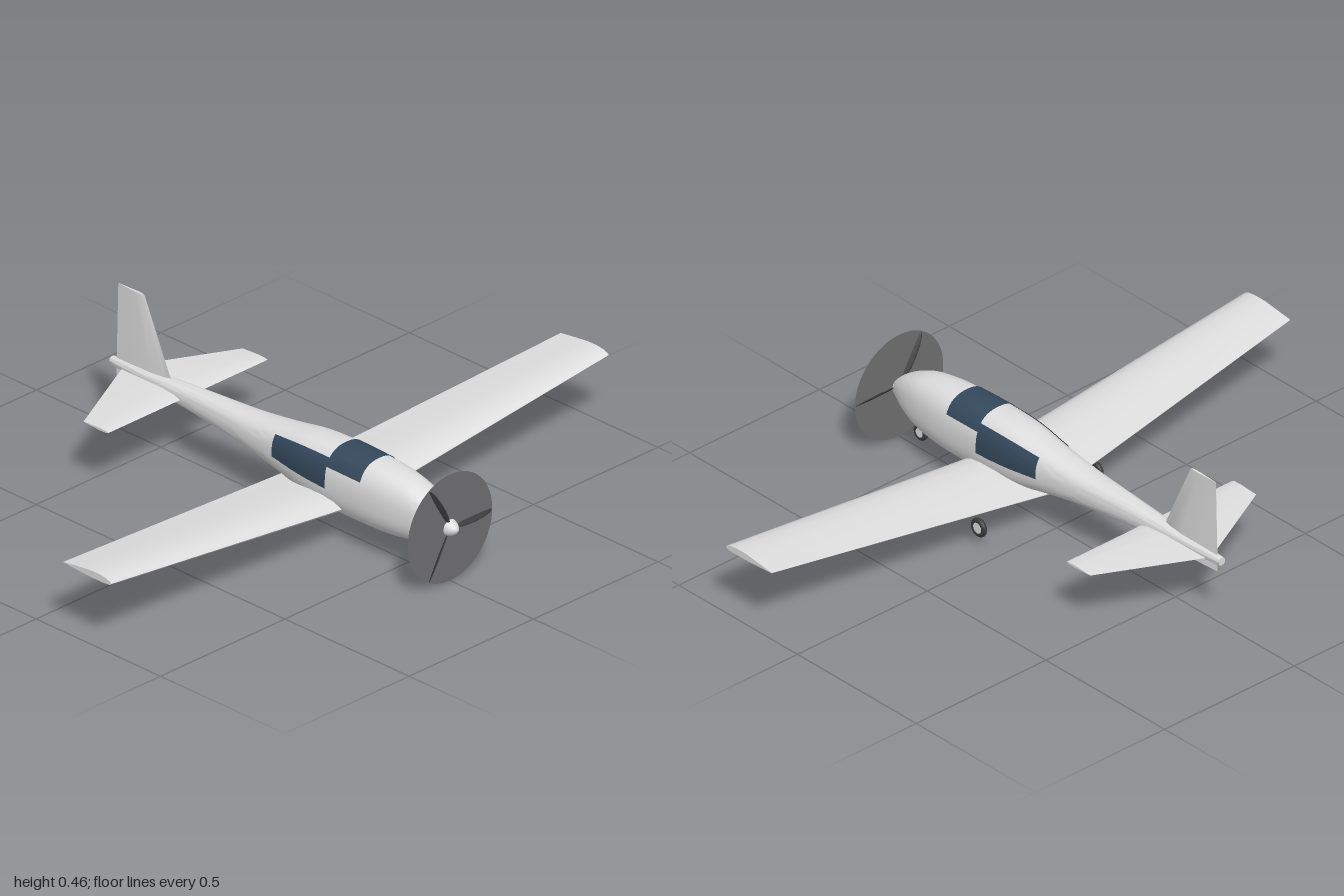
import * as THREE from 'three';
import { toCreasedNormals } from 'three/addons/utils/BufferGeometryUtils.js';

const mat = (name, color, side = THREE.FrontSide) => {
  const m = new THREE.MeshStandardMaterial({ color, side });
  m.name = name;
  return m;
};

// Skin a list of rings; closed rings get end caps
function loft(rings, closed = true, crease = 0.7) {
  const n = rings[0].length, pos = [], idx = [];
  rings.forEach(r => r.forEach(p => pos.push(...p)));
  const segs = closed ? n : n - 1;
  for (let i = 0; i < rings.length - 1; i++) {
    for (let j = 0; j < segs; j++) {
      const k = (j + 1) % n, a = i * n + j, b = i * n + k;
      idx.push(a, b, b + n, a, b + n, a + n);
    }
  }
  if (closed) {
    const e = (rings.length - 1) * n;
    for (let j = 1; j < n - 1; j++) idx.push(0, j + 1, j, e, e + j, e + j + 1);
  }
  const g = new THREE.BufferGeometry();
  g.setAttribute('position', new THREE.Float32BufferAttribute(pos, 3));
  g.setIndex(idx);
  return toCreasedNormals(g, crease);
}

// Fuselage stations: z, top y, bottom y, half width
const STATIONS = [
  [0.66, 0.198, 0.145, 0.026], [0.64, 0.218, 0.132, 0.036], [0.60, 0.243, 0.113, 0.052],
  [0.54, 0.268, 0.092, 0.067], [0.46, 0.282, 0.082, 0.078], [0.38, 0.287, 0.08, 0.083],
  [0.247, 0.29, 0.082, 0.085], [0.13, 0.285, 0.095, 0.081], [0.015, 0.268, 0.12, 0.067],
  [-0.13, 0.252, 0.146, 0.052], [-0.3, 0.244, 0.164, 0.038], [-0.48, 0.234, 0.179, 0.026],
  [-0.695, 0.221, 0.197, 0.012],
];
const curve = f => new THREE.CatmullRomCurve3(STATIONS.map(f), false, 'catmullrom', 0.5);
const heights = curve(s => new THREE.Vector3(s[1], s[2], s[0]));
const widths = curve(s => new THREE.Vector3(s[3], 0, 0));

// Part of the body skin between two stations and two angles (degrees, descending)
function bodyRings(s0, s1, a0, a1, nu, nv, grow = 0) {
  const rings = [], soft = v => Math.sign(v) * Math.abs(v) ** 0.8;
  for (let i = 0; i <= nu; i++) {
    const t = (s0 + (s1 - s0) * i / nu) / (STATIONS.length - 1);
    const h = heights.getPoint(t), w = widths.getPoint(t).x + grow;
    const cy = (h.x + h.y) / 2, ry = (h.x - h.y) / 2 + grow;
    const ring = [];
    for (let j = 0; j <= nv; j++) {
      const a = THREE.MathUtils.degToRad(a0 + (a1 - a0) * j / nv);
      ring.push([w * soft(Math.cos(a)), cy + ry * soft(Math.sin(a)), h.z]);
    }
    rings.push(ring);
  }
  return rings;
}

// Foil outlines: chord fraction, thickness fraction; back to front on top, then back again
const CAMBERED = [[1, 0.36], [0.75, 0.65], [0.45, 0.97], [0.25, 1], [0.1, 0.82], [0.02, 0.55],
  [0, 0.35], [0.03, 0.1], [0.15, 0], [0.5, 0.02], [1, 0.3]];
const SYMMETRIC = [[1, 0.05], [0.7, 0.5], [0.35, 1], [0.1, 0.75], [0, 0],
  [0.1, -0.75], [0.35, -1], [0.7, -0.5], [1, -0.05]];

// Stations for horizontal surfaces: x, base y, front z, back z, thickness
const flatFoil = (outline, stations) => loft(stations.map(([x, y, f, b, t]) =>
  outline.map(([c, h]) => [x, y + h * t, f + (b - f) * c])));

export function createModel() {
  const model = new THREE.Group();
  model.name = 'aeroplane';
  const paint = mat('light grey paint', 0xdedede);
  const glass = mat('dark blue glass', 0x34495c, THREE.DoubleSide);
  const disc = mat('propeller blur grey', 0x6e6e70, THREE.DoubleSide);
  const dark = mat('dark rubber', 0x3a3a3a);

  const add = (name, geometry, material, parent = model) => {
    const m = new THREE.Mesh(geometry, material);
    m.name = name;
    parent.add(m);
    return m;
  };

  // Body, dropping the duplicated last point of each closed ring
  const skin = bodyRings(0, STATIONS.length - 1, 360, 0, 72, 40).map(r => r.slice(0, -1));
  add('fuselage', loft(skin, true, 1), paint);

  // Glazing laid just over the skin
  add('windshield', loft(bodyRings(5, 6, 154, 26, 6, 24, 0.002), false), glass);
  add('leftWindow', loft(bodyRings(6, 8, 44, -4, 12, 10, 0.002), false), glass);
  add('rightWindow', loft(bodyRings(6, 8, 184, 136, 12, 10, 0.002), false), glass);

  // Wing and tail surfaces
  add('wing', flatFoil(CAMBERED, [
    [-1, 0.215, 0.302, 0.109, 0.022], [0, 0.1, 0.302, 0.012, 0.038], [1, 0.215, 0.302, 0.109, 0.022],
  ]), paint);
  add('tailplane', flatFoil(SYMMETRIC, [
    [-0.32, 0.203, -0.39, -0.49, 0.004], [0, 0.203, -0.39, -0.65, 0.009], [0.32, 0.203, -0.39, -0.49, 0.004],
  ]), paint);
  const finStations = [[0.168, -0.54, -0.677, 0.007], [0.225, -0.455, -0.676, 0.008], [0.464, -0.565, -0.67, 0.004]];
  add('fin', loft(finStations.map(([y, f, b, t]) =>
    SYMMETRIC.map(([c, h]) => [-h * t, y, f + (b - f) * c]))), paint);

  // Propeller: spinner, spinning disc and three pitched blades
  const propeller = new THREE.Group();
  propeller.name = 'propeller';
  propeller.position.set(0, 0.17, 0.664);
  model.add(propeller);
  const nose = [[0.027, -0.012], [0.026, 0], [0.021, 0.013], [0.013, 0.024], [0.006, 0.0295], [0, 0.031]];
  const spinner = add('spinner', new THREE.LatheGeometry(nose.map(p => new THREE.Vector2(...p)), 32), paint, propeller);
  spinner.rotation.x = Math.PI / 2;
  add('propellerDisc', new THREE.CircleGeometry(0.17, 64), disc, propeller);
  const bladeShape = new THREE.SphereGeometry(1, 20, 12);
  bladeShape.scale(0.08, 0.003, 0.015);
  bladeShape.rotateX(0.75);
  bladeShape.translate(0.088, 0, 0);
  for (let i = 0; i < 3; i++) {
    add('blade', bladeShape, dark, propeller).rotation.z = i * Math.PI * 2 / 3;
  }

  // Wheels: nose wheel and a main pair
  const tyreShape = new THREE.TorusGeometry(0.0215, 0.0085, 14, 36);
  tyreShape.rotateY(Math.PI / 2);
  const hubShape = new THREE.CylinderGeometry(0.017, 0.017, 0.014, 28);
  hubShape.rotateZ(Math.PI / 2);
  for (const [name, x, y, z, s] of [
    ['noseWheel', 0, 0.056, 0.572, 0.87], ['leftWheel', 0.225, 0.059, 0.082, 1], ['rightWheel', -0.225, 0.059, 0.082, 1],
  ]) {
    const wheel = new THREE.Group();
    wheel.name = name;
    wheel.position.set(x, y, z);
    wheel.scale.set(1, s, s);
    add('tyre', tyreShape, dark, wheel);
    add('hub', hubShape, paint, wheel);
    model.add(wheel);
  }
  return model;
}
